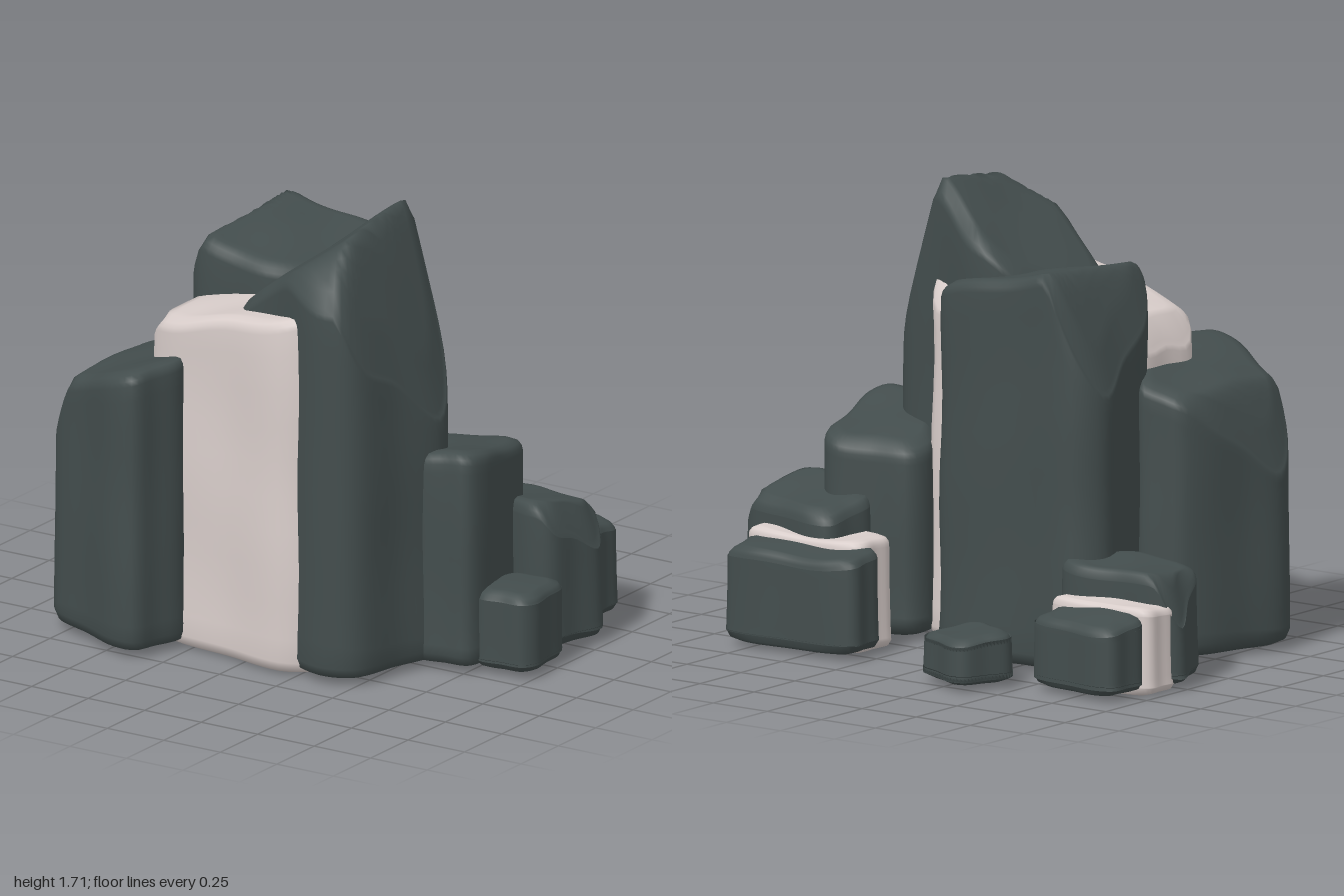
import * as THREE from 'three';

const N = 72; // points around each outline

// Four corners of a turned block seen from above
function block(cx, cz, w, d, turn) {
  return [0, 1, 2, 3].map((i) => {
    const u = (i === 1 || i === 2 ? w : -w) / 2, v = (i > 1 ? d : -d) / 2;
    return [cx + u * Math.cos(turn) - v * Math.sin(turn), cz + u * Math.sin(turn) + v * Math.cos(turn)];
  });
}

// Rounds the corners of an [x, z] polygon and spaces points evenly along it
function roundedRim(corners) {
  const at = ([x, z]) => new THREE.Vector3(x, 0, z);
  const points = corners.flatMap((p, i) => {
    const a = at(p), b = at(corners[(i + 1) % corners.length]);
    return [0.15, 0.5, 0.85].map((t) => a.clone().lerp(b, t));
  });
  const rim = new THREE.CatmullRomCurve3(points, true, 'centripetal').getSpacedPoints(N).slice(0, N);
  if (!THREE.ShapeUtils.isClockWise(rim.map((p) => new THREE.Vector2(p.x, p.z)))) rim.reverse();
  return rim;
}

// Smooth worn stone: an outline raised to the lowest of several sloping
// planes [height, slope in x, slope in z], with softened rims.
function rockGeometry(corners, planes, { base = 0.02, round = 0.05, seed = 0 }) {
  const rim = roundedRim(corners);
  const c = rim.reduce((s, p) => s.add(p), new THREE.Vector3()).divideScalar(N);
  const k = round / (rim.reduce((s, p) => s + p.distanceTo(c), 0) / N);

  const topAt = (x, z) => {
    const soft = 0.02;
    const sum = planes.reduce((s, [h, gx = 0, gz = 0]) => s + Math.exp(-(h + gx * x + gz * z) / soft), 0);
    return -soft * Math.log(sum) + 0.008 * Math.sin(13 * x + seed) * Math.cos(11 * z + seed * 2);
  };

  // rings: outline scale, fraction of wall height, offset in rounding radii, on the cap
  const rings = [];
  const ring = (scale, rise, offset = 0, cap = false) => rings.push({ scale, rise, offset, cap });
  ring(0, 0);
  ring(1 - k, 0);
  ring(1 - 0.3 * k, 0, 0.3);
  ring(1, 0, 1);
  for (let f = 1; f < 10; f++) ring(1, f / 10);
  ring(1, 1, -1);
  ring(1 - 0.1 * k, 1, -0.6);
  ring(1 - 0.35 * k, 1, -0.25);
  for (let i = 10; i >= 0; i--) ring((1 - k) * i / 10, 1, 0, true);

  const pos = [], index = [];
  rings.forEach(({ scale, rise, offset, cap }, i) => {
    rim.forEach((p, j) => {
      const r = p.clone().lerp(c, 0.025 * rise);
      const rimTop = topAt(r.x, r.z);
      const ripple = 1 + 0.012 * Math.sin(9 * rise * rimTop + seed + 5 * p.x) * Math.cos(6 * p.z + seed);
      const v = c.clone().lerp(r, scale * ripple);
      v.y = cap ? topAt(v.x, v.z) : base + (rimTop - base) * rise + offset * round;
      pos.push(v.x, v.y, v.z);
      if (i < rings.length - 1) {
        const a = i * N + j, b = i * N + (j + 1) % N;
        index.push(a, b, a + N, b, b + N, a + N);
      }
    });
  });
  const g = new THREE.BufferGeometry();
  g.setAttribute('position', new THREE.Float32BufferAttribute(pos, 3));
  g.setIndex(index);
  g.computeVertexNormals();
  return g;
}

export function createModel() {
  const darkStone = new THREE.MeshStandardMaterial({ color: 0x434d4d });
  darkStone.name = 'dark stone';
  const paleStone = new THREE.MeshStandardMaterial({ color: 0xd8cdca });
  paleStone.name = 'pale stone';

  const model = new THREE.Group();
  model.name = 'rockCluster';
  const addRock = (name, material, corners, planes, options = {}) => {
    const seed = model.children.length + 1;
    const mesh = new THREE.Mesh(rockGeometry(corners, planes, { seed, ...options }), material);
    mesh.name = name;
    model.add(mesh);
  };
  const small = { round: 0.04 };
  const vein = { base: 0, round: 0.03 };

  // Tall rocks and the pale core between them
  addRock('tallFrontRock', darkStone,
    [[-0.02, -0.14], [0.65, 0.09], [0.48, 0.7], [-0.24, 0.4]],
    [[1.46, 0.75, -0.1], [2.71, -2.8], [2.08, 0, -0.95], [1.7, 0, 1.8]]);
  addRock('tallBackRock', darkStone,
    [[-0.65, -0.35], [0.05, -0.39], [0.18, -0.14], [-0.08, 0.22], [-0.5, 0.23]],
    [[1.4, -0.2, -0.08], [2.45, 2.2], [1.52, -0.5]]);
  addRock('paleCore', paleStone,
    [[-0.5, 0.08], [-0.5, 0.53], [0.33, 0.66], [0.37, -0.07], [0, -0.15]],
    [[1.34, 0.22], [2.3, 2.3], [1.38, 0, 1.2]], { base: 0 });
  addRock('frontLeftRock', darkStone,
    [[-0.74, 0.1], [-0.53, 0.03], [-0.26, 0.56], [-0.36, 0.84], [-0.88, 0.6]],
    [[1.22, 0.3], [2.75, 2.4]]);

  // Right-hand cluster
  addRock('rightRock', darkStone,
    [[0.25, -0.18], [0.68, -0.32], [0.82, 0.26], [0.54, 0.3]], [[0.74, 0.1, 0.16]]);
  addRock('rightMiddleRock', darkStone,
    [[0.5, -0.5], [0.99, -0.38], [0.9, -0.04], [0.45, -0.22]], [[0.61, 0, 0.22], [2.4, -2.05]]);
  addRock('rightPaleVein', paleStone, block(0.6, -0.39, 0.54, 0.24, 0), [[0.42]], vein);
  addRock('rightBackRock', darkStone, block(0.57, -0.53, 0.58, 0.22, -0.05), [[0.48, 0, 0.17]], small);
  addRock('smallRightRock', darkStone, block(0.87, 0.06, 0.25, 0.3, -0.1), [[0.32]], small);

  // Left-hand cluster
  addRock('leftRock', darkStone,
    [[-1.02, -0.33], [-0.49, -0.42], [-0.59, -0.09], [-0.9, -0.03]], [[0.5, 0.08], [2.65, 2.4]], small);
  addRock('leftPaleVein', paleStone, block(-0.745, -0.37, 0.46, 0.2, 0), [[0.33]], vein);
  addRock('leftBackRock', darkStone, block(-0.745, -0.52, 0.41, 0.22, 0.12), [[0.4, 0, 0.2]], small);

  // Loose stone behind
  addRock('looseBackStone', darkStone, block(-0.285, -0.65, 0.3, 0.26, 0.43), [[0.25, 0, 0.08]], small);
  return model;
}
